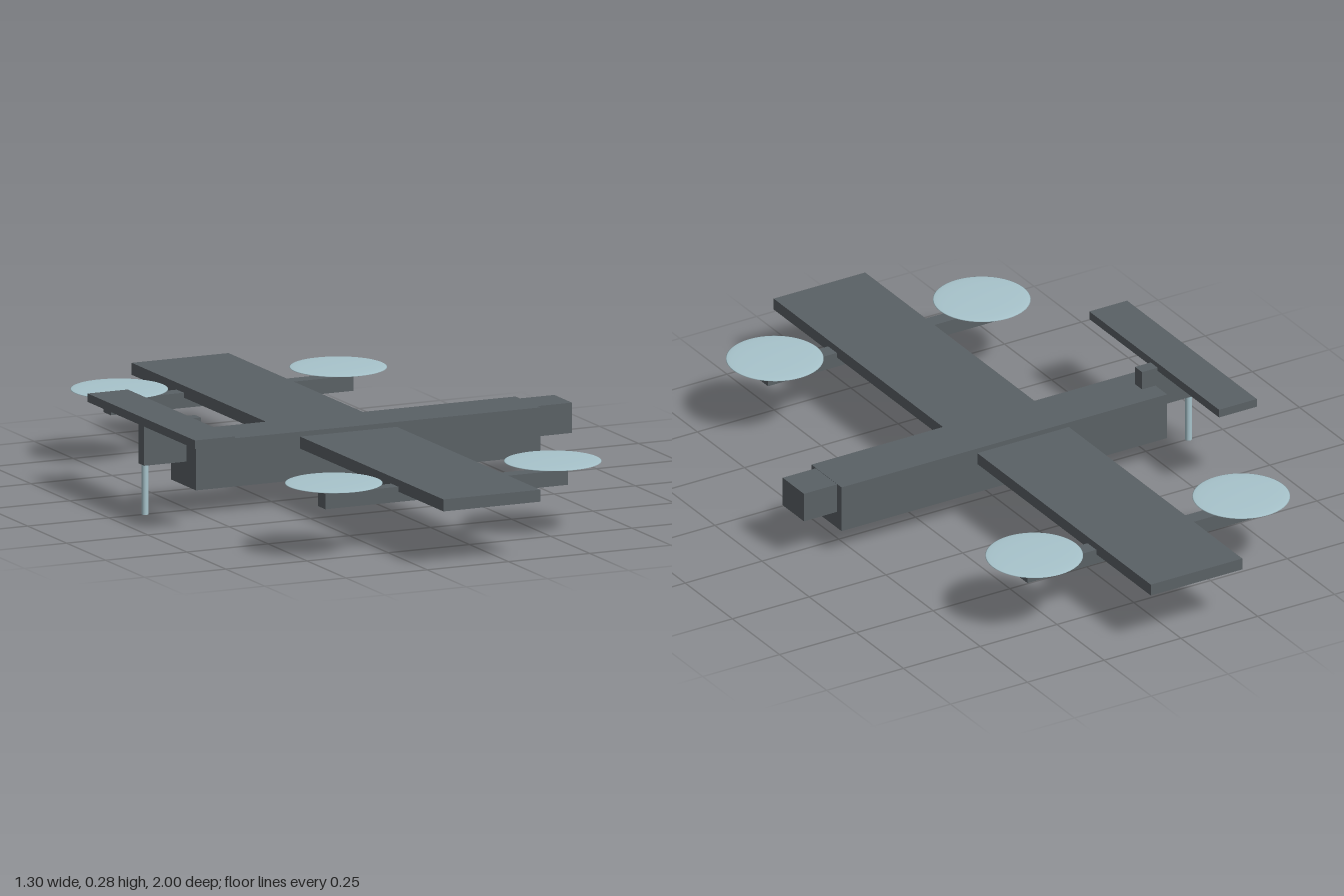
import * as THREE from 'three';

export function createModel() {
  const model = new THREE.Group();
  model.name = 'tiltrotorDrone';
  const dark = new THREE.MeshStandardMaterial({ color: 0x5a6165 });
  const pale = new THREE.MeshStandardMaterial({ color: 0xa8c4cc });

  const add = (name, geometry, material, x, y, z) => {
    const mesh = new THREE.Mesh(geometry, material);
    mesh.name = name;
    mesh.position.set(x, y, z);
    model.add(mesh);
    return mesh;
  };

  // Box given by its x and y extents, its depth and its z centre
  const box = (name, x0, x1, y0, y1, depth, z = 0) =>
    add(name, new THREE.BoxGeometry(x1 - x0, y1 - y0, depth), dark, (x0 + x1) / 2, (y0 + y1) / 2, z);

  // Body, with the nose pointing along +x
  box('fuselage', -0.52, 0.54, 0.072, 0.209, 0.16);
  box('nose', 0.54, 0.648, 0.122, 0.208, 0.113);
  box('wing', -0.2, 0.098, 0.161, 0.195, 2);

  // Tail
  box('tailFin', -0.65, -0.476, 0.142, 0.263, 0.037);
  box('tailplane', -0.65, -0.527, 0.253, 0.277, 0.688);
  add('tailSkid', new THREE.CylinderGeometry(0.0095, 0.0095, 0.15, 24), pale, -0.639, 0.075, 0);

  // Booms under the wing, each with a thin lens-shaped rotor disc at either end
  const discGeometry = new THREE.SphereGeometry(0.136, 48, 16).scale(1, 0.005 / 0.136, 1);
  for (const side of [-1, 1]) {
    const z = side * 0.688;
    box('rotorBoom', -0.425, 0.322, 0.132, 0.175, 0.046, z);
    for (const x of [-0.388, 0.286]) add('rotorDisc', discGeometry, pale, x, 0.199, z);
  }

  return model;
}
